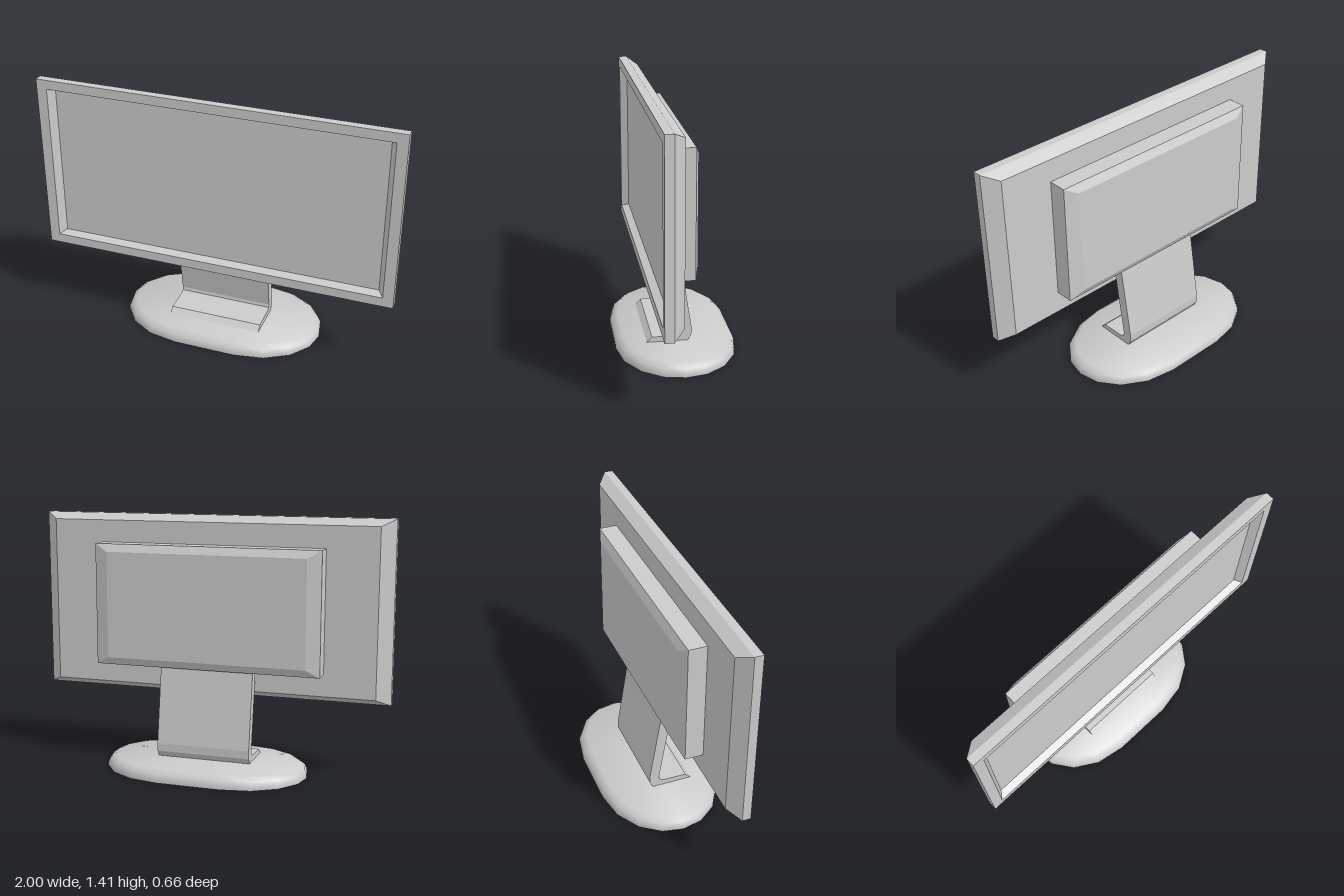
import * as THREE from 'three';
import { toCreasedNormals } from 'three/addons/utils/BufferGeometryUtils.js';

// Skin a list of rings (equal point counts) and close both ends with fans.
function loft(rings) {
  const pos = [];
  const tri = (...pts) => pts.forEach((p) => pos.push(p.x, p.y, p.z));
  const n = rings[0].length;
  const centre = (ring) =>
    ring.reduce((sum, p) => sum.add(p), new THREE.Vector3()).divideScalar(n);
  const first = rings[0], last = rings[rings.length - 1];
  const c0 = centre(first), c1 = centre(last);
  for (let j = 0; j < n; j++) {
    const k = (j + 1) % n;
    tri(c0, first[j], first[k]);
    for (let i = 0; i < rings.length - 1; i++) {
      const a = rings[i][j], b = rings[i][k], c = rings[i + 1][k], d = rings[i + 1][j];
      tri(a, d, c);
      tri(a, c, b);
    }
    tri(c1, last[k], last[j]);
  }
  const geometry = new THREE.BufferGeometry();
  geometry.setAttribute('position', new THREE.Float32BufferAttribute(pos, 3));
  geometry.computeVertexNormals();
  return geometry;
}

// Upright rectangle, counter-clockwise from the front.
const rect = (halfWidth, bottom, top, z) => [
  new THREE.Vector3(halfWidth, bottom, z),
  new THREE.Vector3(halfWidth, top, z),
  new THREE.Vector3(-halfWidth, top, z),
  new THREE.Vector3(-halfWidth, bottom, z),
];

export function createModel() {
  const group = new THREE.Group();
  const material = new THREE.MeshStandardMaterial({ color: 0xcccccc });
  const add = (name, geometry) => {
    const mesh = new THREE.Mesh(geometry, material);
    mesh.name = name;
    group.add(mesh);
  };

  // Display panel: recessed screen, sloped bezel, frame, chamfered back
  add('displayPanel', loft([
    rect(0.912, 0.48, 1.35, 0.133),
    rect(0.942, 0.463, 1.358, 0.175),
    rect(1, 0.41, 1.41, 0.175),
    rect(1, 0.41, 1.41, 0.128),
    rect(0.925, 0.447, 1.373, 0.068),
  ]));

  // Rear housing with chamfered edges
  add('rearHousing', loft([
    rect(0.64, 0.57, 1.25, 0.07),
    rect(0.64, 0.57, 1.25, -0.032),
    rect(0.565, 0.613, 1.207, -0.055),
  ]));

  // Bent stand: side profile as [z, y], extruded across the width
  const profile = [
    [0.053, 0.6], [-0.022, 0.13], [-0.018, 0.112], [0, 0.1], [0.14, 0.097],
    [0.172, 0.066], [-0.055, 0.066], [-0.076, 0.1], [-0.077, 0.145], [-0.005, 0.6],
  ];
  const shape = new THREE.Shape(profile.map(([z, y]) => new THREE.Vector2(-z, y)));
  const stand = new THREE.ExtrudeGeometry(shape, { depth: 0.53, bevelEnabled: false });
  stand.translate(0, 0, -0.265).rotateY(Math.PI / 2);
  add('stand', stand);

  // Oval base: one quadrant mirrored all round, then stacked with a rounded rim
  const quadrant = [[0.573, 0], [0.549, 0.115], [0.47, 0.222], [0.34, 0.3], [0.175, 0.33]];
  const half = [...quadrant, ...quadrant.slice(1).reverse().map(([x, z]) => [-x, z])];
  const outline = [...half, ...half.map(([x, z]) => [-x, -z])];
  const oval = (y, inset) => outline.map(([x, z]) =>
    new THREE.Vector3(x * (1 - inset / 0.573), y, -z * (1 - inset / 0.33)));
  const base = loft([
    oval(0.068, 0.042), oval(0.045, 0.011), oval(0.02, 0), oval(0, 0),
  ]);
  add('base', toCreasedNormals(base, 0.75));

  return group;
}
